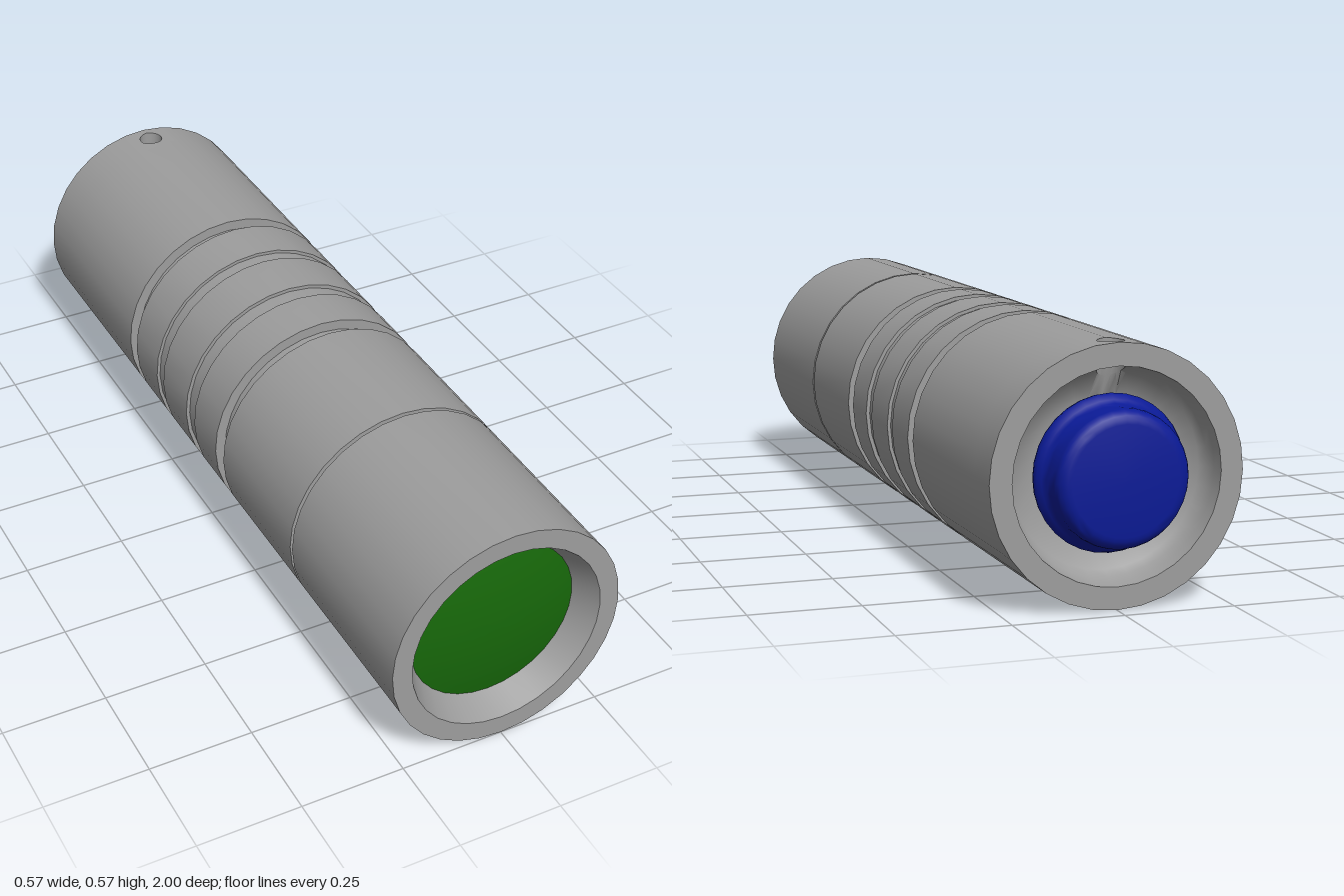
import * as THREE from 'three';
import { mergeGeometries, toCreasedNormals } from 'three/addons/utils/BufferGeometryUtils.js';

const SIDES = 32;
const STEP = (Math.PI * 2) / SIDES;
const R = 0.285;      // outer radius
const REAR = -0.955;  // rear rim
const RING = -0.855;  // floor of the tail recess, front end of the pierced ring
const MID = (REAR + RING) / 2;
const HALF = (RING - REAR) / 2;

// Radius of the bowl-shaped tail recess at z
const bowl = (z) => 0.16 + 0.075 * Math.sqrt(Math.max(0, 1 - ((z - REAR) / (RING - REAR)) ** 2));

// Turned surface around z from [radius, z] points; gap leaves the two top facets open.
function turned(points, gap = false) {
  const profile = points.map(([r, z]) => new THREE.Vector2(r, z));
  const geo = gap
    ? new THREE.LatheGeometry(profile, SIDES - 2, Math.PI + STEP, Math.PI * 2 - 2 * STEP)
    : new THREE.LatheGeometry(profile, SIDES);
  geo.rotateX(Math.PI / 2);
  geo.deleteAttribute('uv');
  geo.deleteAttribute('normal');
  return geo.toNonIndexed();
}

// Wall patch over the two top facets, pierced by a round hole.
function piercedPatch(holeRadius) {
  const n = 16;
  const point = (radiusAt, t, square) => {
    const c = Math.cos(t), s = Math.sin(t);
    const m = Math.max(Math.abs(c), Math.abs(s));
    const z = MID + (square ? (HALF * s) / m : holeRadius * s);
    const radius = radiusAt(z);
    const x = square ? (radius * Math.sin(STEP) * c) / m : holeRadius * c;
    return [x, radius - Math.abs(x) * Math.tan(STEP / 2), z];
  };
  const outer = () => R;
  const loops = [[outer, true], [outer, false], [bowl, false], [bowl, true]].map(([radiusAt, square]) =>
    Array.from({ length: n }, (_, i) => point(radiusAt, (i / n) * Math.PI * 2, square)));
  const pos = [];
  for (let k = 0; k < 3; k++) {
    for (let i = 0; i < n; i++) {
      const j = (i + 1) % n, a = loops[k], b = loops[k + 1];
      pos.push(...a[i], ...b[i], ...a[j], ...a[j], ...b[i], ...b[j]);
    }
  }
  const geo = new THREE.BufferGeometry();
  geo.setAttribute('position', new THREE.Float32BufferAttribute(pos, 3));
  return geo;
}

function part(name, geometry, color, crease) {
  const mesh = new THREE.Mesh(
    toCreasedNormals(geometry, crease),
    new THREE.MeshStandardMaterial({ color })
  );
  mesh.name = name;
  mesh.position.y = R;
  return mesh;
}

export function createModel() {
  const group = new THREE.Group();
  group.name = 'flashlight';

  // Tail recess wall, sampled at the heights of the patch's side points
  const k = Math.tan(Math.PI / 8);
  const recess = [1, k, 0, -k, -1].map((s) => [bowl(MID + HALF * s), MID + HALF * s]);

  // Outer barrel with its grooves, front rim and flared reflector
  const grooves = [
    [-0.41, -0.37, 0.26],
    [-0.24, -0.2, 0.277],
    [-0.06, -0.012, 0.276],
    [0.112, 0.156, 0.26],
    [0.515, 0.525, 0.272],
  ];
  const barrel = [[R, RING]];
  for (const [z0, z1, r] of grooves) barrel.push([R, z0], [r, z0], [r, z1], [R, z1]);
  barrel.push([R, 1], [0.237, 1], [0.205, 0.935]);

  group.add(part('body', mergeGeometries([
    turned([[0, RING], recess[0]]),
    turned(recess, true),
    turned([[0.235, REAR], [R, REAR]]),
    turned([[R, REAR], [R, RING]], true),
    turned(barrel),
    piercedPatch(0.03),
  ]), 0x9d9d9d, 0.6));

  // Gently domed lens
  const lens = [];
  for (let i = 0; i <= 8; i++) {
    const r = 0.205 * (1 - i / 8);
    lens.push([r, 0.935 + 0.022 * (1 - (r / 0.205) ** 2)]);
  }
  group.add(part('lens', turned(lens), 0x17680a, 0.6));

  // Tail switch: rounded cap flowing into a slightly wider collar
  const cap = [[0, -1]];
  for (let i = 0; i <= 5; i++) {
    const a = (i / 5) * Math.PI / 2;
    cap.push([0.12 + 0.03 * Math.sin(a), -0.97 - 0.03 * Math.cos(a)]);
  }
  cap.push([0.15, -0.94], [0.153, -0.931], [0.16, -0.923], [0.168, -0.916], [0.172, -0.906],
    [0.17, -0.896], [0.162, -0.888], [0.152, -0.883], [0.15, -0.875], [0.15, RING]);
  group.add(part('tailSwitch', turned(cap), 0x0a1a96, 1));

  return group;
}
